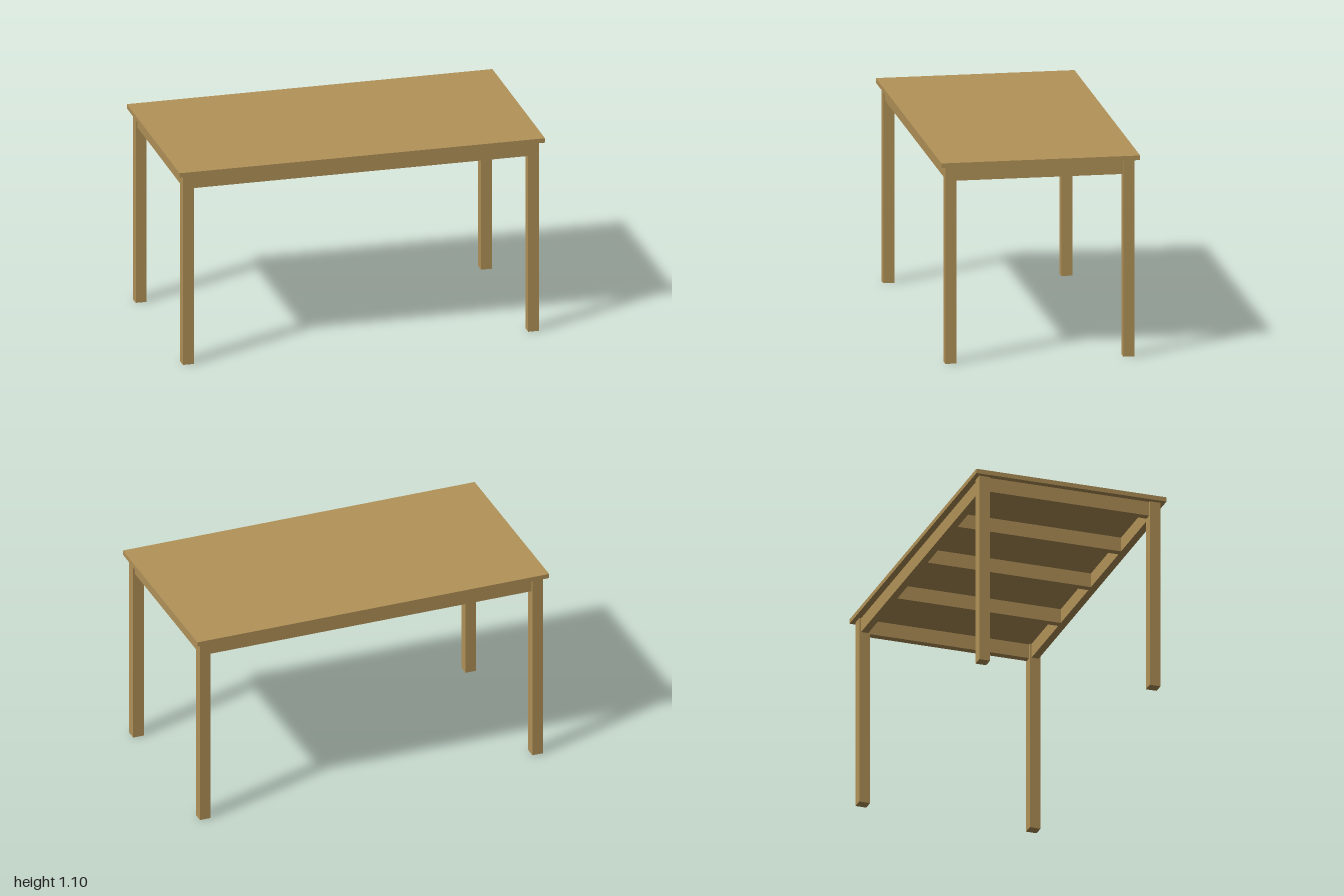
import * as THREE from 'three';

export function createModel() {
  const table = new THREE.Group();
  table.name = 'table';
  const wood = new THREE.MeshStandardMaterial({ color: 0xb39359 });
  wood.name = 'oakWood';

  const topY = 1.07, legX = 0.945, legZ = 0.478, legSize = 0.06;
  const railHeight = 0.08, railThick = 0.04;
  const railY = topY - railHeight / 2;

  function addBox(name, w, h, d, x, y, z) {
    const mesh = new THREE.Mesh(new THREE.BoxGeometry(w, h, d), wood);
    mesh.name = name;
    mesh.position.set(x, y, z);
    table.add(mesh);
  }

  // Overhanging tabletop
  addBox('tabletop', 2, 0.025, 1.066, 0, topY + 0.0125, 0);

  // Square legs at the four corners
  for (const [side, sx] of [['Left', 1], ['Right', -1]]) {
    for (const [end, sz] of [['front', 1], ['back', -1]]) {
      addBox(`${end}${side}Leg`, legSize, topY, legSize, sx * legX, topY / 2, sz * legZ);
    }
  }

  // Apron rails between the legs, slightly set back from their outer faces
  const longRail = 2 * legX - legSize, shortRail = 2 * legZ - legSize;
  for (const [name, s] of [['front', 1], ['back', -1]]) {
    addBox(`${name}Apron`, longRail, railHeight, railThick, 0, railY, s * legZ);
  }
  for (const [name, s] of [['left', 1], ['right', -1]]) {
    addBox(`${name}Apron`, railThick, railHeight, shortRail, s * legX, railY, 0);
  }

  // Three cross rails under the top
  for (const i of [-1, 0, 1]) {
    addBox(`crossRail${i + 2}`, railThick, railHeight, 2 * legZ - railThick, i * 0.475, railY, 0);
  }

  return table;
}
